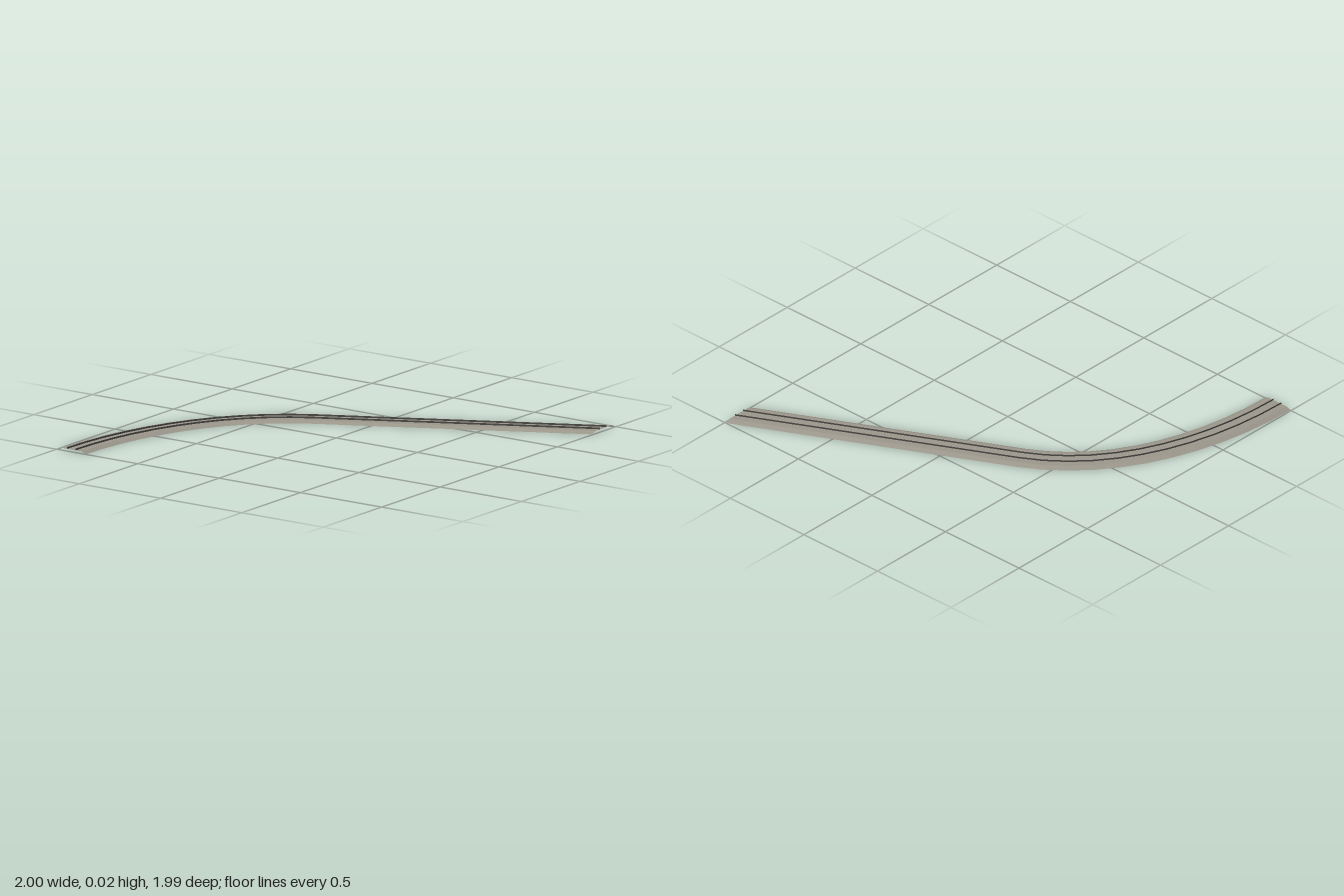
import * as THREE from 'three';

const bedMaterial = new THREE.MeshStandardMaterial({ color: 0x9b968a, side: THREE.DoubleSide, flatShading: true });
bedMaterial.name = 'gravel grey';
const railMaterial = new THREE.MeshStandardMaterial({ color: 0x4a4845, side: THREE.DoubleSide, flatShading: true });
railMaterial.name = 'dark steel';

// Stations along the track: centre point (x, z) and sideways vector towards the outer edge
function makeStations() {
  const start = new THREE.Vector2(-1, -0.908);
  const corner = new THREE.Vector2(-0.066, -0.908);
  const join = new THREE.Vector2(0.24, -0.305);
  const end = new THREE.Vector2(0.9025, 0.993);
  const bend = new THREE.CubicBezierCurve(
    start, start.clone().lerp(corner, 0.59), join.clone().lerp(corner, 0.66), join);
  const segments = 11;
  const stations = [];
  for (let i = 0; i <= segments; i++) {
    const dir = bend.getTangent(i / segments);
    stations.push({ centre: bend.getPoint(i / segments), side: new THREE.Vector2(dir.y, -dir.x) });
  }
  // The straight ends in a cut parallel to x
  const dir = end.clone().sub(join).normalize();
  stations.push({ centre: end, side: new THREE.Vector2(1 / dir.y, 0) });
  return stations;
}

// Sweep an open profile of [sideways offset, height] points along the stations
function sweep(stations, profile) {
  const positions = [];
  const indices = [];
  const n = profile.length;
  for (const { centre, side } of stations) {
    for (const [offset, y] of profile) {
      positions.push(centre.x + side.x * offset, y, centre.y + side.y * offset);
    }
  }
  for (let i = 0; i < stations.length - 1; i++) {
    for (let j = 0; j < n - 1; j++) {
      const a = i * n + j, b = a + 1, d = a + n, c = d + 1;
      indices.push(a, d, c, a, c, b);
    }
  }
  const geometry = new THREE.BufferGeometry();
  geometry.setAttribute('position', new THREE.Float32BufferAttribute(positions, 3));
  geometry.setIndex(indices);
  const flat = geometry.toNonIndexed();
  flat.computeVertexNormals();
  return flat;
}

export function createModel() {
  const group = new THREE.Group();
  group.name = 'curvedTrack';
  const stations = makeStations();

  // Open-bottomed bed with sloping shoulders
  const bed = new THREE.Mesh(
    sweep(stations, [[-0.087, 0], [-0.062, 0.012], [0.062, 0.012], [0.087, 0]]), bedMaterial);
  bed.name = 'trackBed';
  group.add(bed);

  // Two thin upright rails
  for (const [name, offset] of [['innerRail', -0.026], ['outerRail', 0.026]]) {
    const rail = new THREE.Mesh(sweep(stations, [[offset, 0.012], [offset, 0.021]]), railMaterial);
    rail.name = name;
    group.add(rail);
  }
  return group;
}
